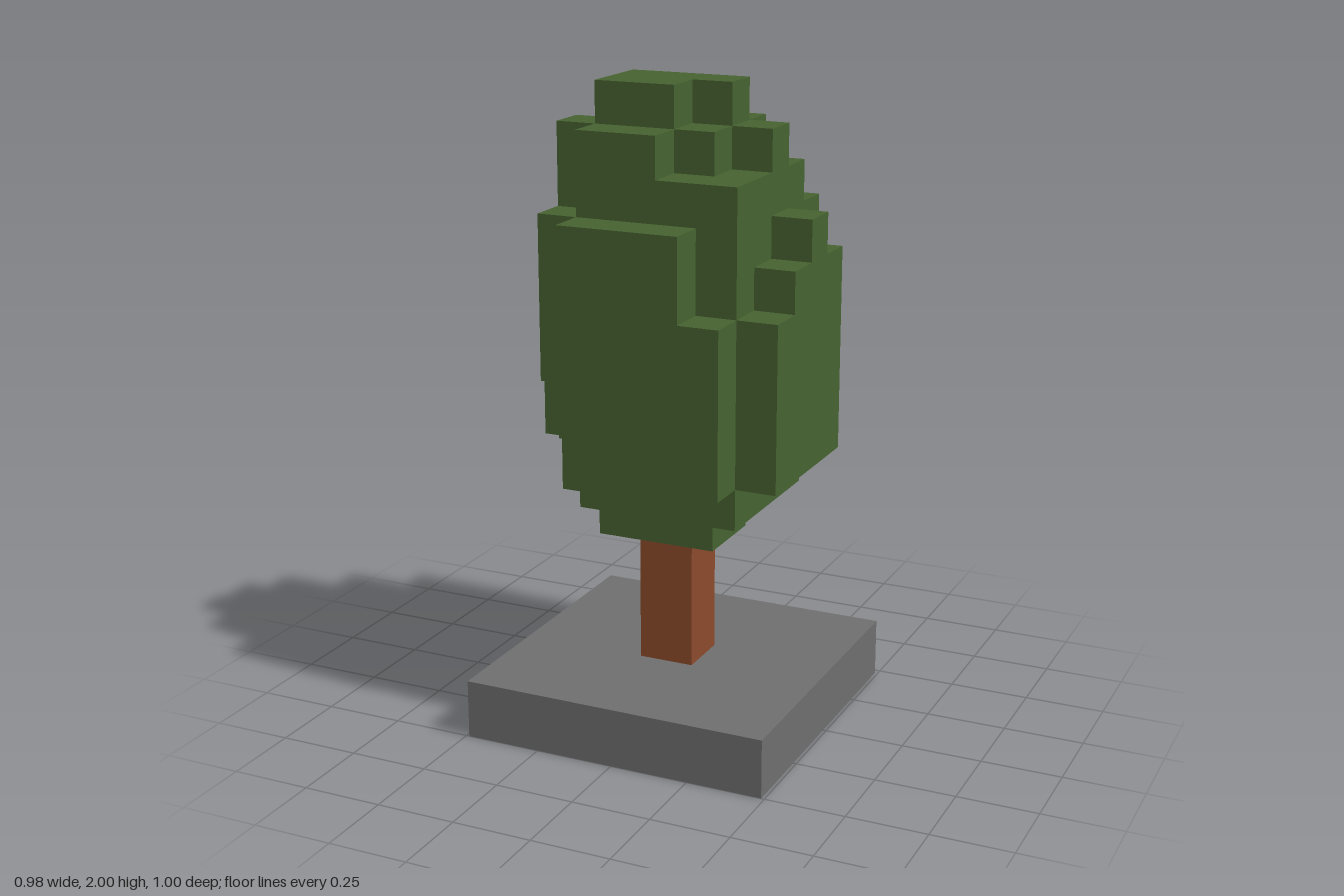
import * as THREE from 'three';
import { mergeGeometries } from 'three/addons/utils/BufferGeometryUtils.js';

const CELL = 0.128;
const ORIGIN = new THREE.Vector3(-0.468, 0.592, -0.5);

// Foliage columns: rows run back to front, characters run along +x.
// Each column fills layers from LOW up to (not including) HIGH, in hex.
const HIGH = ['..6665.', '.78998.', '69aaa97', '69bbba8', '.abba97', '.8aa996', '..8886.'];
const LOW = ['..3334.', '.22212.', '2110112', '2100012', '.100012', '.411112', '..3222.'];

function filled(i, j, k) {
  const high = parseInt(HIGH[k]?.[i] ?? '.', 16);
  const low = parseInt(LOW[k]?.[i] ?? '.', 16);
  return j >= low && j < high;
}

// One square per exposed cell side, so the crown is a clean outer shell
function crownGeometry() {
  const sides = [[1, 0, 0], [-1, 0, 0], [0, 1, 0], [0, -1, 0], [0, 0, 1], [0, 0, -1]].map((d) => {
    const normal = new THREE.Vector3(...d);
    const turn = new THREE.Quaternion().setFromUnitVectors(new THREE.Vector3(0, 0, 1), normal);
    const square = new THREE.PlaneGeometry(CELL, CELL).applyQuaternion(turn);
    square.translate(normal.x * CELL / 2, normal.y * CELL / 2, normal.z * CELL / 2);
    return { d, square };
  });
  const faces = [];
  for (let k = 0; k < 7; k++) {
    for (let i = 0; i < 7; i++) {
      for (let j = 0; j < 11; j++) {
        if (!filled(i, j, k)) continue;
        for (const { d, square } of sides) {
          if (filled(i + d[0], j + d[1], k + d[2])) continue;
          faces.push(square.clone().translate(
            ORIGIN.x + (i + 0.5) * CELL,
            ORIGIN.y + (j + 0.5) * CELL,
            ORIGIN.z + (k + 0.5) * CELL));
        }
      }
    }
  }
  return mergeGeometries(faces);
}

function part(name, geometry, color) {
  const material = new THREE.MeshStandardMaterial({ color, flatShading: true });
  const mesh = new THREE.Mesh(geometry, material);
  mesh.name = name;
  return mesh;
}

export function createModel() {
  const tree = new THREE.Group();
  tree.name = 'blockTree';

  // Square slab the tree stands on
  const base = part('base', new THREE.BoxGeometry(0.98, 0.185, 0.98), 0x6e6e6e);
  base.position.set(0, 0.0925, 0.01);

  // Square trunk
  const trunk = part('trunk', new THREE.BoxGeometry(0.176, 0.407, 0.176), 0x8b4a2b);
  trunk.position.set(-0.003, 0.3885, 0.013);

  // Stepped crown of leaves
  const foliage = part('foliage', crownGeometry(), 0x466230);

  tree.add(base, trunk, foliage);
  return tree;
}
